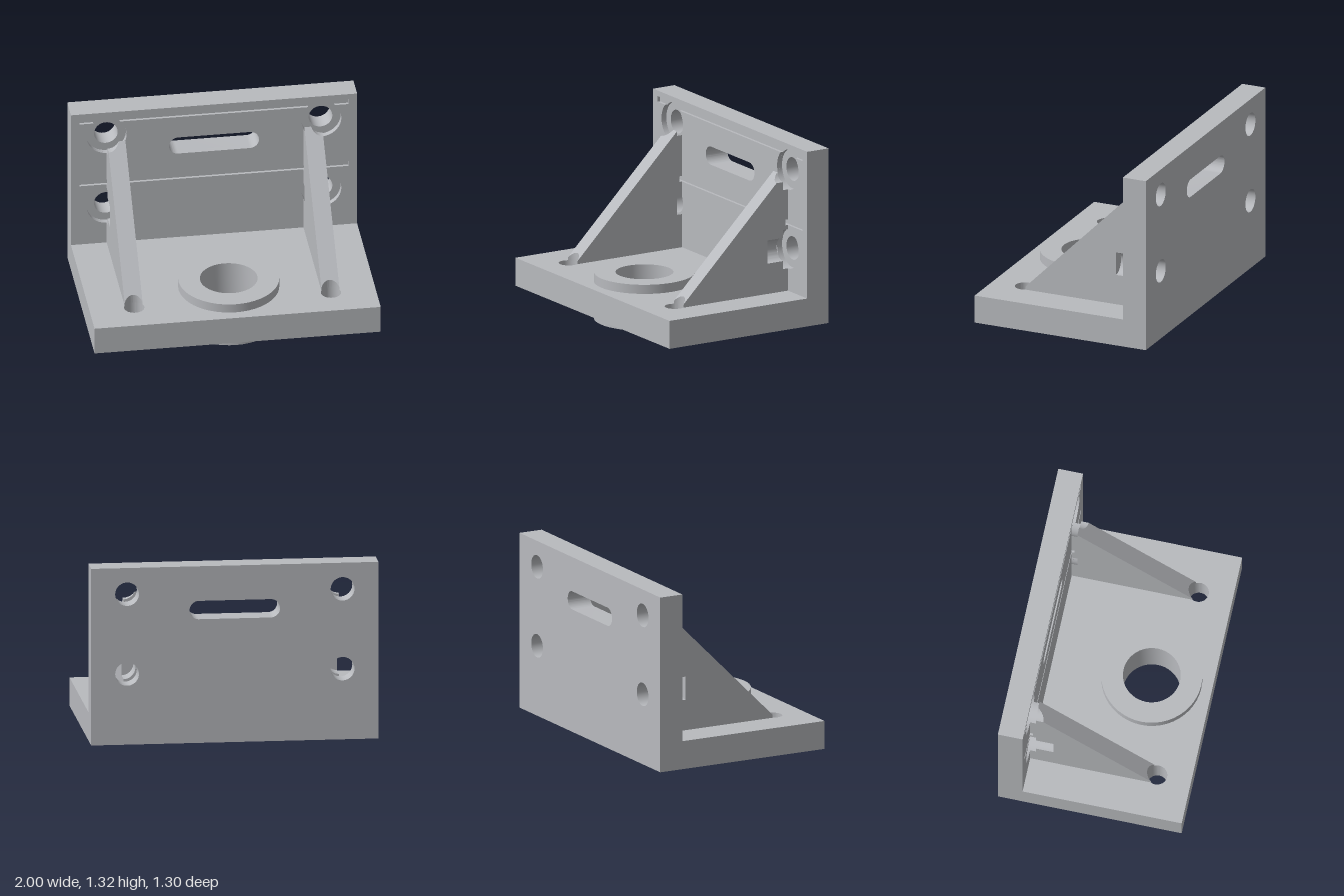
import * as THREE from 'three';
import { toCreasedNormals } from 'three/addons/utils/BufferGeometryUtils.js';

const HOLE_R = 0.083, BORE_R = 0.14, BOLT_X = 0.75, BOLT_Y = [0.565, 1.13];
const TOE_X = 0.6875, TOE_Z = 0.41, TOE_R = 0.07;
const SIDES = [-1, 1];

const rect = (x0, y0, x1, y1, Type = THREE.Shape) => {
  const s = new Type();
  s.moveTo(x0, y0).lineTo(x1, y0).lineTo(x1, y1).lineTo(x0, y1).closePath();
  return s;
};
const circle = (x, y, r) => new THREE.Path().absarc(x, y, r, 0, Math.PI * 2, false);

function extrude(shape, depth) {
  const g = new THREE.ExtrudeGeometry(shape, { depth, bevelEnabled: false, curveSegments: 24 });
  return toCreasedNormals(g, 0.6);
}

// Rounded slot near the top of the back plate
function slot() {
  const p = new THREE.Path();
  p.absarc(0.25, 1.005, 0.065, -Math.PI / 2, Math.PI / 2, false);
  p.absarc(-0.25, 1.005, 0.065, Math.PI / 2, Math.PI * 1.5, false);
  return p.closePath();
}

// Upper groove merged with the two upper counterbores it crosses
function upperGroove() {
  const p = new THREE.Path(), a = Math.asin(0.105 / BORE_R);
  p.moveTo(0.94, 1.275).lineTo(-0.94, 1.275).lineTo(-0.94, 1.235);
  for (const s of SIDES) p.absarc(s * BOLT_X, 1.13, BORE_R, Math.PI - a, Math.PI * 2 + a, false);
  return p.lineTo(0.94, 1.235).closePath();
}

// Side outline of a gusset, as [z, y], at distance x from the centre plane
function gussetProfile(x) {
  const dx = BOLT_X - x;
  const h = Math.sqrt(Math.max(0, HOLE_R ** 2 - dx * dx));
  const c = Math.sqrt(BORE_R ** 2 - dx * dx);
  const t = TOE_Z - Math.sqrt(TOE_R ** 2 - (x - TOE_X) ** 2);
  const k = Math.max(h, 0.03), deep = h > 1e-6 ? -0.31 : -0.435;
  const [lo, hi] = BOLT_Y, back = -0.475, bore = -0.435;
  return [
    [t, 0.265], [t, 0.665 - t],
    [-0.465 + k, hi - k], [bore, hi - k], [bore, hi - c], [back, hi - c],
    [back, 0.775], [-0.455, 0.775], [-0.455, 0.735], [back, 0.735],
    [back, lo + c], [bore, lo + c], [bore, lo + h], [deep, lo + h],
    [deep, lo - h], [bore, lo - h], [bore, lo - c], [back, lo - c],
    [back, 0.265],
  ];
}

// Gusset lofted across its thickness through the changing outline
function gussetGeometry(side) {
  const xs = [];
  for (let i = 0; i < 6; i++) xs.push(0.625 + (BOLT_X - HOLE_R - 0.625) * i / 6);
  for (let i = 0; i <= 14; i++) xs.push(BOLT_X - HOLE_R * Math.cos(i / 14 * Math.PI / 2));
  const rings = xs.map(x => gussetProfile(x).map(([z, y]) => new THREE.Vector3(side * x, y, z)));
  const pos = [], tri = new THREE.Triangle();
  const add = (a, b, c) => {
    if (tri.set(a, b, c).getArea() < 1e-9) return;
    for (const v of side > 0 ? [a, b, c] : [a, c, b]) pos.push(v.x, v.y, v.z);
  };
  for (let j = 0; j < rings.length - 1; j++) {
    const A = rings[j], B = rings[j + 1];
    A.forEach((p, i) => {
      const n = (i + 1) % A.length;
      add(p, B[i], B[n]);
      add(p, B[n], A[n]);
    });
  }
  const cap = (ring, flip) => {
    const flat = ring.map(v => new THREE.Vector2(v.z, v.y));
    for (const [a, b, c] of THREE.ShapeUtils.triangulateShape(flat, [])) {
      if (flip) add(ring[a], ring[c], ring[b]);
      else add(ring[a], ring[b], ring[c]);
    }
  };
  cap(rings[0], false);
  cap(rings[rings.length - 1], true);
  const g = new THREE.BufferGeometry();
  g.setAttribute('position', new THREE.Float32BufferAttribute(pos, 3));
  return toCreasedNormals(g, 0.6);
}

export function createModel() {
  const model = new THREE.Group();
  model.name = 'angleBracket';
  const metal = new THREE.MeshStandardMaterial({ color: 0xb8babe });
  metal.name = 'grey metal';
  const add = (name, geometry, parent = model) => {
    const m = new THREE.Mesh(geometry, metal);
    m.name = name;
    parent.add(m);
    return m;
  };

  // Base plate with the bushing opening and two small holes
  const base = rect(-1, -0.65, 1, 0.475);
  base.holes.push(circle(0, -0.225, 0.3));
  for (const s of SIDES) base.holes.push(circle(s * TOE_X, -TOE_Z, TOE_R));
  add('basePlate', extrude(base, 0.2).rotateX(-Math.PI / 2)).position.y = 0.065;

  // Bushing ring through the base
  const ring = new THREE.Shape().absarc(0, 0, 0.35, 0, Math.PI * 2, false);
  ring.holes.push(circle(0, 0, 0.2));
  add('bushing', extrude(ring, 0.33).rotateX(-Math.PI / 2)).position.z = 0.225;

  // Back plate in three layers: bolt holes, counterbores, grooved face
  const backPlate = new THREE.Group();
  backPlate.name = 'backPlate';
  model.add(backPlate);
  const bolts = (r, ys) => ys.flatMap(y => SIDES.map(s => circle(s * BOLT_X, y, r)));
  const layers = [
    ['boltHoleLayer', -0.65, 0.135, bolts(HOLE_R, BOLT_Y)],
    ['counterboreLayer', -0.515, 0.02, bolts(BORE_R, BOLT_Y)],
    ['groovedFace', -0.495, 0.02, [...bolts(BORE_R, [BOLT_Y[0]]), upperGroove(),
      rect(-0.94, 0.735, 0.94, 0.775, THREE.Path)]],
  ];
  for (const [name, z, depth, holes] of layers) {
    const s = rect(-1, 0.065, 1, 1.315);
    s.holes.push(slot(), ...holes);
    add(name, extrude(s, depth), backPlate).position.z = z;
  }

  // Two triangular gussets notched by the bolt holes, groove and toe holes
  add('leftGusset', gussetGeometry(1));
  add('rightGusset', gussetGeometry(-1));
  return model;
}
